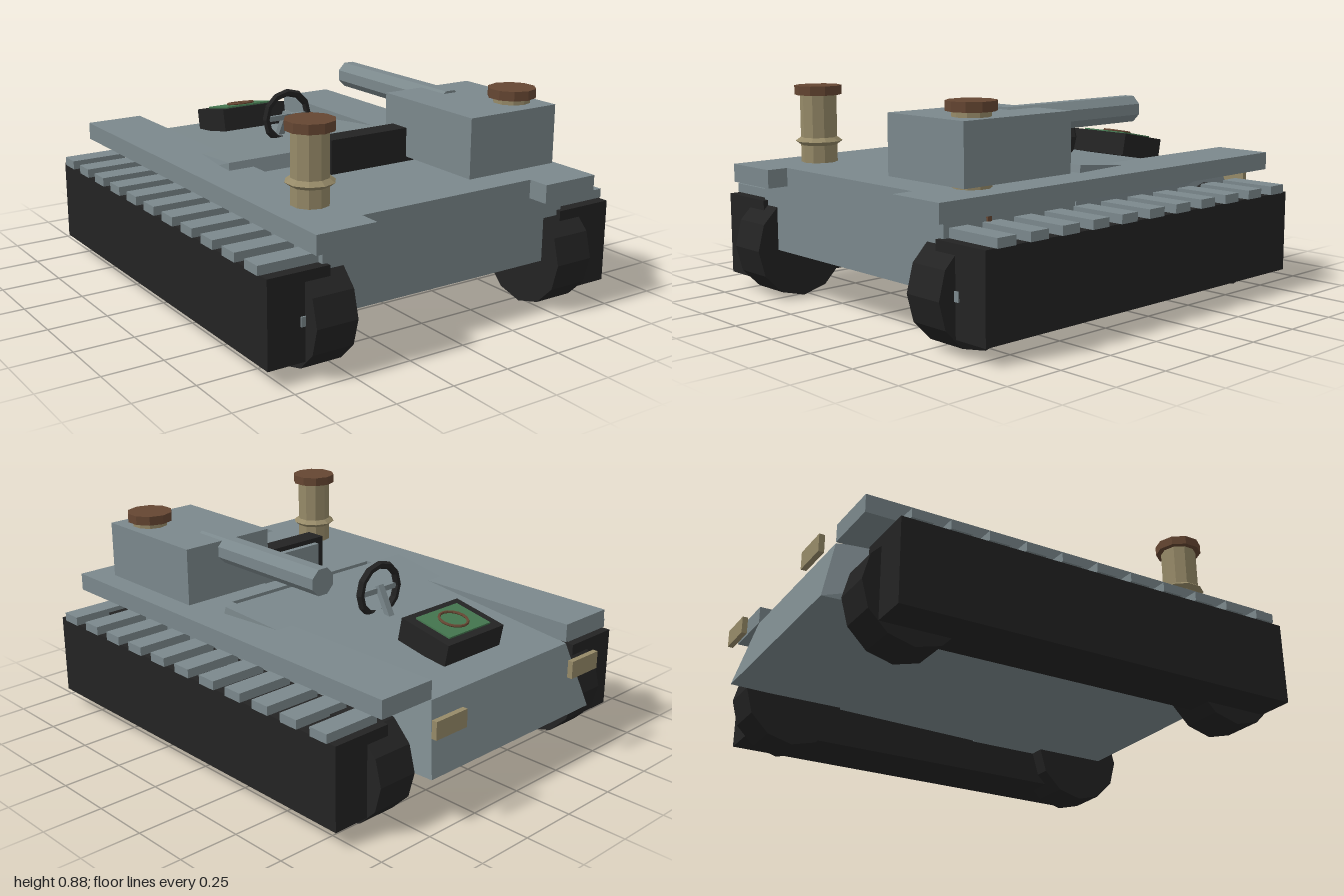
import * as THREE from 'three';

const mat = (name, color) => {
  const m = new THREE.MeshStandardMaterial({ color, flatShading: true });
  m.name = name;
  return m;
};

export function createModel() {
  const grey = mat('hull grey', 0x7b888c);
  const black = mat('rubber black', 0x232323);
  const brown = mat('rust brown', 0x654632);
  const tan = mat('brass tan', 0x968a68);
  const green = mat('screen green', 0x44764f);

  const model = new THREE.Group();
  model.name = 'trackedVehicle';

  const add = (name, geometry, material, x = 0, y = 0, z = 0, parent = model) => {
    const mesh = new THREE.Mesh(geometry, material);
    mesh.name = name;
    mesh.position.set(x, y, z);
    parent.add(mesh);
    return mesh;
  };
  // Box given by its limits on each axis
  const box = (name, material, [x0, x1], [y0, y1], [z0, z1]) =>
    add(name, new THREE.BoxGeometry(x1 - x0, y1 - y0, z1 - z0), material,
      (x0 + x1) / 2, (y0 + y1) / 2, (z0 + z1) / 2);
  // Box limits mirrored to the other side
  const span = (s, a, b) => (s > 0 ? [a, b] : [-b, -a]);

  // Front hull and the floor of the driver's slot
  box('frontHull', grey, [-0.57, 0.57], [0.21, 0.56], [0.235, 0.9]);
  box('slotFloor', grey, [-0.5, 0.5], [0.215, 0.43], [0.1, 0.24]);

  // Rear hull: a box whose deck slopes down and narrows to the back
  const rear = new THREE.BoxGeometry(2, 2, 2);
  const p = rear.attributes.position;
  for (let i = 0; i < p.count; i++) {
    const side = Math.sign(p.getX(i));
    const top = p.getY(i) > 0;
    const front = p.getZ(i) > 0;
    const [hw, y, z] = front
      ? (top ? [0.51, 0.59, 0.14] : [0.54, 0.21, 0.235])
      : (top ? [0.4, 0.48, -0.9] : [0.47, 0.21, -0.975]);
    p.setXYZ(i, side * hw, y, z);
  }
  rear.computeVertexNormals();
  add('rearHull', rear, grey);

  for (const s of [1, -1]) {
    // Fender, track block and slats
    box('fender', grey, span(s, 0.4, 0.655), [0.485, 0.56], [-0.9, 0.99]);
    box('trackBlock', black, span(s, 0.55, 0.81), [0.068, 0.41], [-0.83, 0.92]);
    for (let i = 0; i < 11; i++) {
      const z = -0.75 + i * 0.158;
      box('trackSlat', grey, span(s, 0.57, 0.82), [0.41, 0.447], [z - 0.044, z + 0.044]);
    }
    // Wheels and front axle end
    for (const z of [0.78, -0.685]) {
      const wheel = new THREE.CylinderGeometry(0.215, 0.215, 0.175, 12);
      wheel.rotateZ(Math.PI / 2);
      add('wheel', wheel, black, s * 0.5675, 0.215, z);
    }
    box('axleEnd', grey, span(s, 0.63, 0.675), [0.205, 0.243], [0.9, 0.926]);

    // Chimney with collar and cap
    const chimney = new THREE.Group();
    chimney.name = 'chimney';
    chimney.position.set(s * 0.48, 0, 0.685);
    model.add(chimney);
    add('chimneyPipe', new THREE.CylinderGeometry(0.075, 0.075, 0.34, 10), tan, 0, 0.67, 0, chimney);
    add('chimneyCap', new THREE.CylinderGeometry(0.097, 0.097, 0.038, 10), brown, 0, 0.86, 0, chimney);
    const collar = new THREE.LatheGeometry(
      [[0.07, -0.02], [0.097, 0], [0.07, 0.02]].map(([r, y]) => new THREE.Vector2(r, y)), 10);
    add('chimneyCollar', collar, tan, 0, 0.648, 0, chimney);
    box('chimneyPeg', brown, span(s, 0.562, 0.58), [0.447, 0.485], [0.677, 0.697]);

    // Tail lamp
    box('tailLamp', tan, span(s, 0.315, 0.48), [0.38, 0.453], [-1, -0.977]);
  }

  // Turret box and its rearward barrel
  box('turret', grey, [0.16, 0.59], [0.58, 0.82], [0.28, 0.82]);
  const barrel = new THREE.CylinderGeometry(0.058, 0.058, 0.73, 8);
  barrel.rotateY(Math.PI / 8);
  barrel.rotateX(Math.PI / 2);
  add('barrel', barrel, grey, 0.375, 0.776, 0.065);

  // Seat
  box('seatBack', black, [-0.207, 0.207], [0.55, 0.7], [0.33, 0.42]);
  box('seatBackPad', grey, [-0.16, 0.16], [0.565, 0.68], [0.305, 0.33]);
  box('seatBase', black, [-0.207, 0.207], [0.425, 0.49], [0.165, 0.235]);

  // Steering wheel, spoke and column
  add('steeringWheel', new THREE.TorusGeometry(0.108, 0.017, 6, 12), black, 0, 0.637, -0.235);
  box('steeringSpoke', grey, [-0.1, 0.1], [0.625, 0.648], [-0.242, -0.228]);
  const column = add('steeringColumn', new THREE.BoxGeometry(0.03, 0.15, 0.025), grey, 0, 0.59, -0.272);
  column.rotation.x = 0.5;

  // Tilted console with screen and dial ring
  const consoleGroup = new THREE.Group();
  consoleGroup.name = 'console';
  consoleGroup.position.set(0, 0.56, -0.635);
  consoleGroup.rotation.x = -0.19;
  model.add(consoleGroup);
  add('consoleBody', new THREE.BoxGeometry(0.325, 0.1, 0.25), black, 0, 0, 0, consoleGroup);
  add('screen', new THREE.BoxGeometry(0.24, 0.008, 0.18), green, 0, 0.053, 0, consoleGroup);
  const dial = new THREE.TorusGeometry(0.058, 0.006, 6, 16);
  dial.rotateX(Math.PI / 2);
  add('dialRing', dial, brown, 0, 0.061, 0, consoleGroup);

  return model;
}
